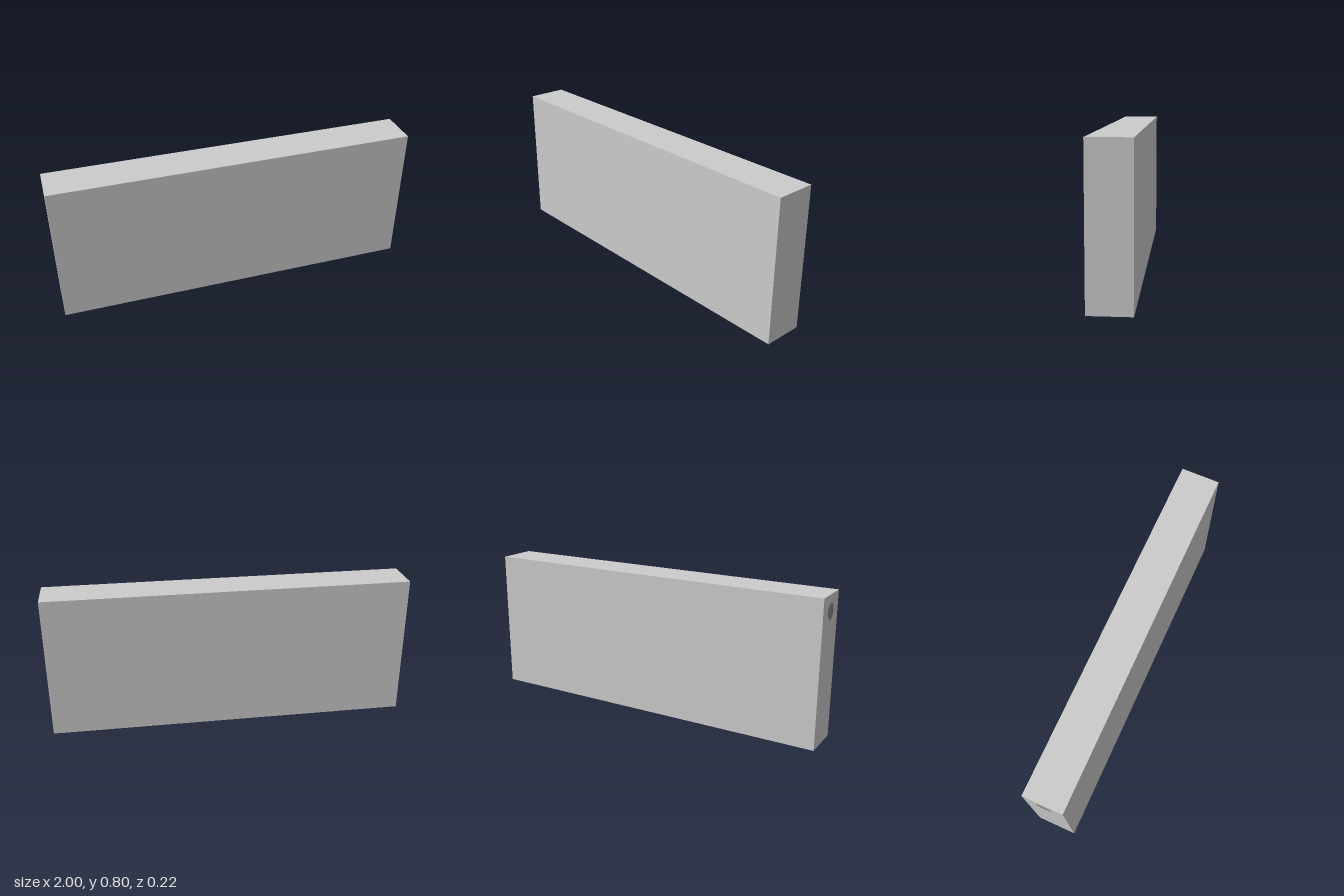
import * as THREE from 'three';

export function createModel() {
  const group = new THREE.Group();
  const grey = new THREE.MeshStandardMaterial({ color: 0xcccccc, flatShading: true });
  const dark = new THREE.MeshStandardMaterial({ color: 0x888888 });

  function add(name, geometry, material, x, y, z) {
    const mesh = new THREE.Mesh(geometry, material);
    mesh.name = name;
    mesh.position.set(x, y, z);
    group.add(mesh);
    return mesh;
  }

  // Main slab
  const bottom = 0.005, top = 0.797;
  add('body', new THREE.BoxGeometry(2, top - bottom, 0.218), grey, 0, (top + bottom) / 2, 0);

  // Round socket near the top of one end
  const socket = add('socket', new THREE.CircleGeometry(0.042, 32), dark, -1.001, 0.711, 0);
  socket.rotation.y = -Math.PI / 2;

  // Shallow contact pad, narrowing towards its lower face
  const pad = new THREE.BoxGeometry(0.066, bottom, 0.15);
  const p = pad.attributes.position;
  for (let i = 0; i < p.count; i++) {
    if (p.getY(i) < 0) {
      p.setX(i, p.getX(i) - Math.sign(p.getX(i)) * 0.006);
      p.setZ(i, p.getZ(i) - Math.sign(p.getZ(i)) * 0.006);
    }
  }
  pad.computeVertexNormals();

  // Row of pads along the underside
  const count = 12, pitch = 0.1517;
  for (let i = 0; i < count; i++) {
    add('bottomPad', pad, grey, (i - (count - 1) / 2) * pitch, bottom / 2, 0);
  }
  return group;
}
